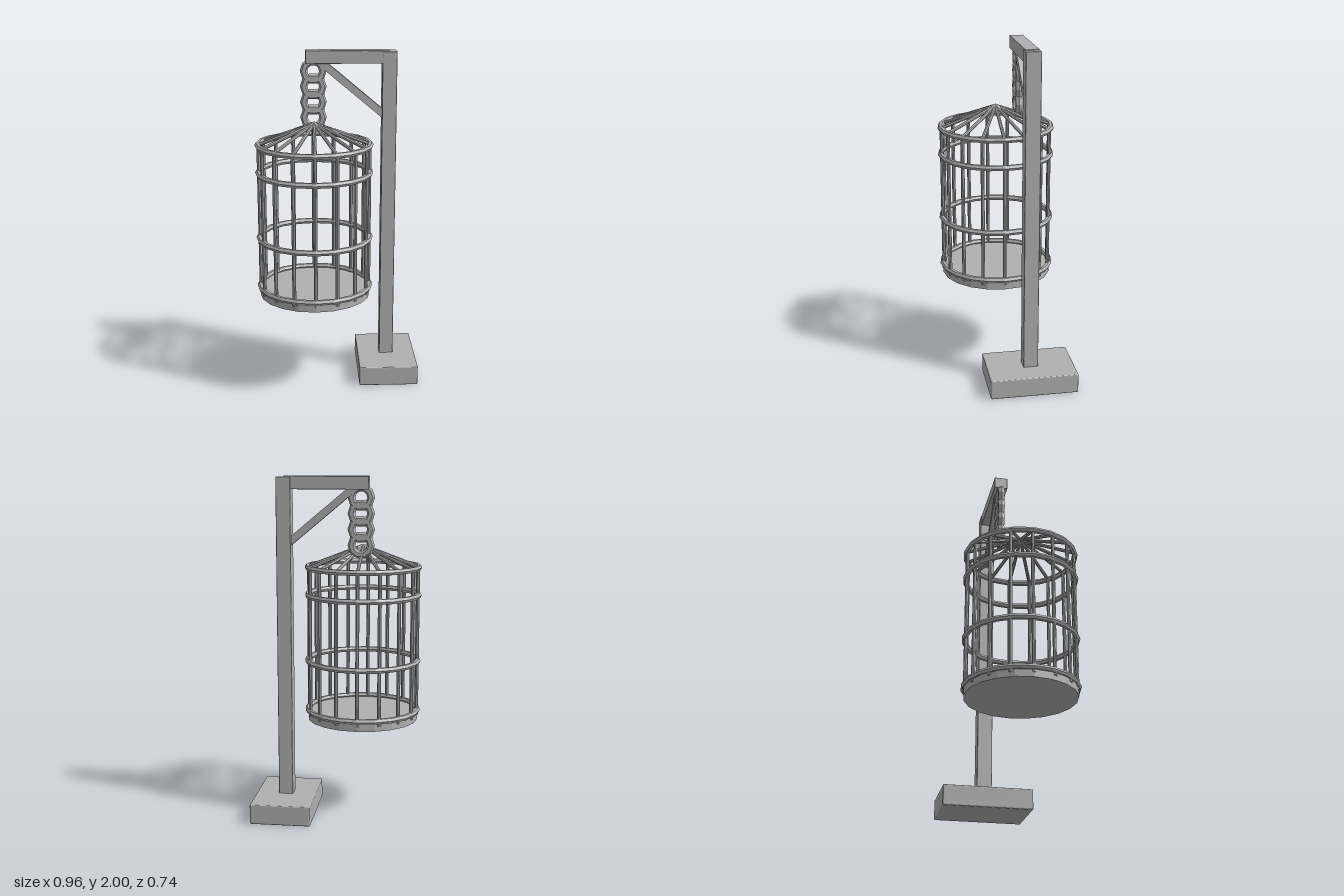
import * as THREE from 'three';
import { RoundedBoxGeometry } from 'three/addons/geometries/RoundedBoxGeometry.js';

export function createModel() {
  const model = new THREE.Group();
  model.name = 'hangingCage';
  const grey = new THREE.MeshStandardMaterial({ color: 0xb0b0b0, flatShading: true });
  grey.name = 'grey';

  const add = (parent, name, geometry, x = 0, y = 0, z = 0) => {
    const mesh = new THREE.Mesh(geometry, grey);
    mesh.name = name;
    mesh.position.set(x, y, z);
    parent.add(mesh);
    return mesh;
  };
  // Box given by its lower and upper corners, with slightly eased edges
  const block = (name, a, b, r) => add(model, name,
    new RoundedBoxGeometry(b[0] - a[0], b[1] - a[1], b[2] - a[2], 2, r),
    (a[0] + b[0]) / 2, (a[1] + b[1]) / 2, (a[2] + b[2]) / 2);
  // Round rod between two points
  const rod = (parent, name, a, b, r) => {
    const dir = b.clone().sub(a);
    const mesh = add(parent, name, new THREE.CylinderGeometry(r, r, dir.length(), 8));
    mesh.position.copy(a).add(b).multiplyScalar(0.5);
    mesh.quaternion.setFromUnitVectors(new THREE.Vector3(0, 1, 0), dir.normalize());
  };

  // Gallows stand
  const postZ = -0.11;
  block('base', [0.125, 0, -0.37], [0.48, 0.12, 0.15], 0.008);
  block('post', [0.26, 0.1, postZ - 0.044], [0.345, 1.995, postZ + 0.044], 0.004);
  block('arm', [-0.185, 1.925, postZ - 0.04], [0.302, 2, postZ + 0.04], 0.004);
  const from = new THREE.Vector2(-0.1, 1.935), to = new THREE.Vector2(0.28, 1.618);
  const brace = add(model, 'brace', new THREE.BoxGeometry(from.distanceTo(to), 0.042, 0.045),
    (from.x + to.x) / 2, (from.y + to.y) / 2, postZ);
  brace.rotation.z = Math.atan2(to.y - from.y, to.x - from.x);

  // Chain of overlapping links
  const chain = new THREE.Group();
  chain.name = 'chain';
  chain.position.set(-0.14, 0, postZ);
  model.add(chain);
  for (let i = 0; i < 4; i++) {
    add(chain, 'chainLink', new THREE.TorusGeometry(0.056, 0.022, 6, 10), 0, 1.61 + i * 0.09, 0);
  }

  // Cage: floor, hoops, upright bars and roof spokes
  const cage = new THREE.Group();
  cage.name = 'cage';
  cage.position.set(-0.14, 0, 0.02);
  model.add(cage);
  add(cage, 'floor', new THREE.CylinderGeometry(0.328, 0.328, 0.05, 20), 0, 0.587, 0);
  for (const y of [0.62, 0.918, 1.31, 1.473]) {
    add(cage, 'hoop', new THREE.TorusGeometry(0.328, 0.017, 6, 20).rotateX(Math.PI / 2), 0, y, 0);
  }
  const apex = new THREE.Vector3(0, 1.597, 0);
  for (let i = 0; i < 16; i++) {
    const t = (i / 16) * Math.PI * 2;
    const at = y => new THREE.Vector3(Math.cos(t) * 0.322, y, Math.sin(t) * 0.322);
    rod(cage, 'bar', at(0.59), at(1.475), 0.011);
    rod(cage, 'roofSpoke', at(1.473), apex, 0.0105);
  }
  return model;
}
